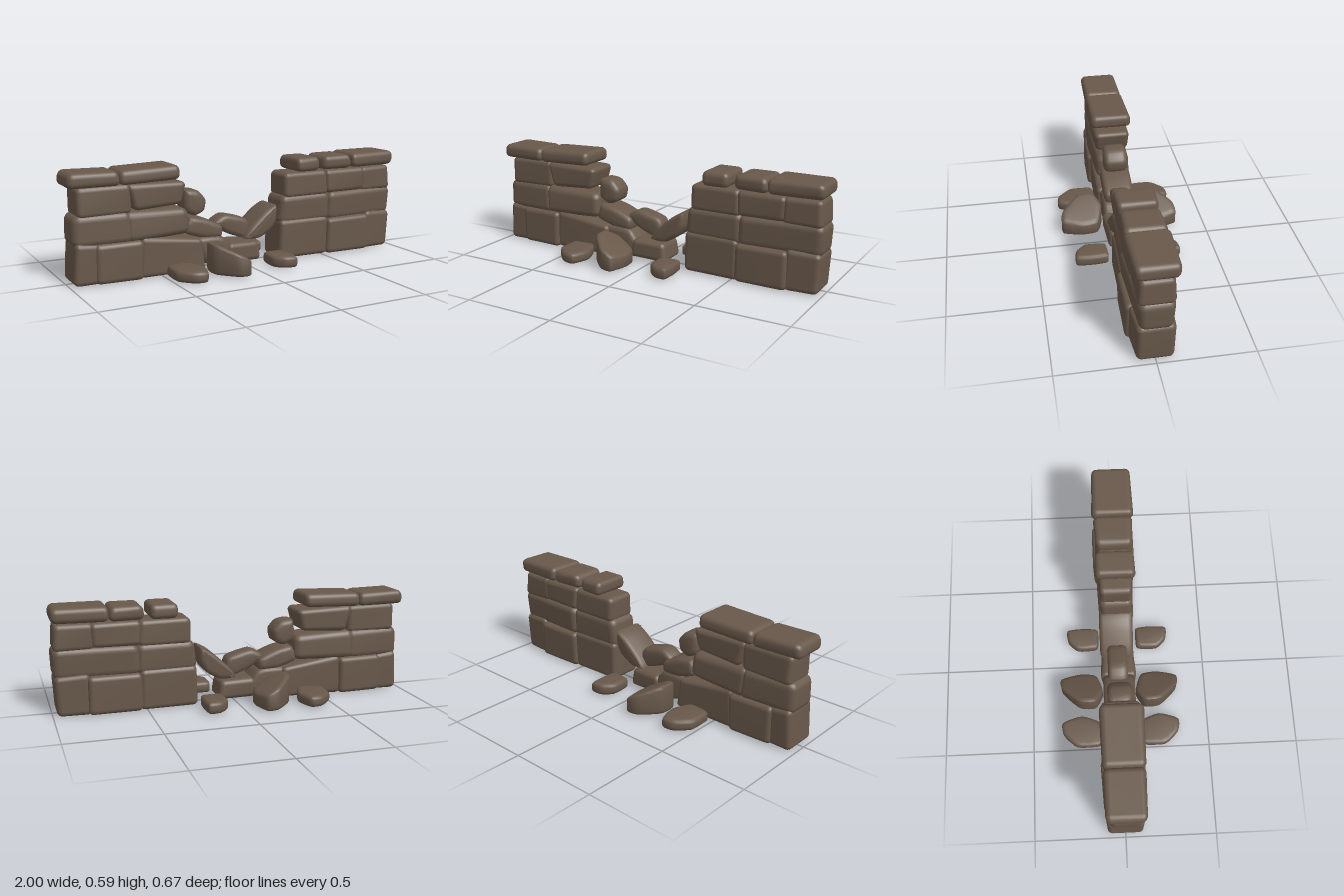
import * as THREE from 'three';
import { RoundedBoxGeometry } from 'three/addons/geometries/RoundedBoxGeometry.js';
import { mergeVertices, toCreasedNormals } from 'three/addons/utils/BufferGeometryUtils.js';

const stone = new THREE.MeshStandardMaterial({ color: 0x68584a });
stone.name = 'brownStone';

// Rounded block bent onto four side-on corners: [x, y] from bottom left, anticlockwise.
// dL and dR are the half depths at its left and right ends.
function block(name, [a, b, c, d], dL, dR, r = 0.028, zMid = 0) {
  const w = (b[0] - a[0] + c[0] - d[0]) / 2;
  const h = (d[1] - a[1] + c[1] - b[1]) / 2;
  const depth = dL + dR;
  const g = new RoundedBoxGeometry(w, h, depth, 3, Math.min(r, h * 0.48, w * 0.48));
  const p = g.attributes.position;
  for (let i = 0; i < p.count; i++) {
    const u = p.getX(i) / w + 0.5;
    const v = p.getY(i) / h + 0.5;
    const mix = k => (a[k] * (1 - u) + b[k] * u) * (1 - v) + (d[k] * (1 - u) + c[k] * u) * v;
    const x = mix(0);
    const y = mix(1);
    const z = p.getZ(i) / depth * 2 * (dL + (dR - dL) * u);
    // slight hand-cut unevenness
    const n = Math.sin(x * 17 + y * 29) * 0.003;
    p.setXYZ(i, x + n, y, z + zMid + n * Math.sign(z));
  }
  return finish(name, g, false);
}

function finish(name, g, creased) {
  g.deleteAttribute('uv');
  g.deleteAttribute('normal');
  let out = mergeVertices(g, 1e-4);
  out.computeVertexNormals();
  if (creased) out = toCreasedNormals(out, 0.8);
  const mesh = new THREE.Mesh(out, stone);
  mesh.name = name;
  return mesh;
}

// Rounded outline extruded from one depth to another, with softened rims
function pebbleGeometry(points, from, to, bevel) {
  const curve = new THREE.CatmullRomCurve3(
    points.map(([x, y]) => new THREE.Vector3(x, y, 0)), true, 'catmullrom', 0.3);
  const outline = curve.getPoints(points.length * 4).slice(0, -1);
  const shape = new THREE.Shape(outline.map(q => new THREE.Vector2(q.x, q.y)));
  const g = new THREE.ExtrudeGeometry(shape, {
    depth: to - from - 2 * bevel, bevelEnabled: true, bevelSize: bevel,
    bevelThickness: bevel, bevelOffset: -bevel, bevelSegments: 3
  });
  return g.translate(0, 0, from + bevel);
}

// Loose stone lying on the ground: plan outline in [x, z], with its top sloping along x
function groundStone(name, plan, side, height, slope, bevel) {
  const g = pebbleGeometry(plan.map(([x, z]) => [x, -z * side]), 0, height, bevel);
  g.rotateX(-Math.PI / 2);
  const x0 = Math.min(...plan.map(q => q[0]));
  const p = g.attributes.position;
  for (let i = 0; i < p.count; i++) {
    p.setY(i, 0.012 + p.getY(i) * (1 - slope * (p.getX(i) - x0)));
  }
  return finish(name, g, true);
}

export function createModel() {
  const model = new THREE.Group();
  model.name = 'ruinedWall';

  const box = (x0, x1, y0, y1, t = 0) => [[x0, y0], [x1, y0], [x1 - t, y1], [x0 + t, y1]];
  const group = (name, list) => {
    const g = new THREE.Group();
    g.name = name;
    g.add(...list);
    model.add(g);
  };

  // Wall piece at -x
  group('rightWall', [
    block('baseStone', [[-0.98, 0.01], [-0.83, 0.01], [-0.83, 0.22], [-0.97, 0.235]], 0.1, 0.1),
    block('baseStone', box(-0.865, -0.61, 0.01, 0.22), 0.115, 0.12),
    block('baseStone', [[-0.63, 0.01], [-0.25, 0.015], [-0.27, 0.185], [-0.62, 0.235]], 0.102, 0.108),
    block('middleStone', box(-0.98, -0.66, 0.205, 0.375, 0.005), 0.09, 0.107, 0.04),
    block('middleStone', [[-0.7, 0.205], [-0.34, 0.22], [-0.34, 0.36], [-0.7, 0.375]], 0.107, 0.095, 0.04),
    block('upperStone', box(-0.955, -0.66, 0.355, 0.515, 0.005), 0.09, 0.092),
    block('upperStone', [[-0.65, 0.37], [-0.38, 0.385], [-0.36, 0.505], [-0.69, 0.515]], 0.1, 0.098),
    block('capStone', [[-1, 0.51], [-0.725, 0.51], [-0.725, 0.585], [-0.995, 0.59]], 0.105, 0.11, 0.03),
    block('capStone', [[-0.73, 0.51], [-0.4, 0.52], [-0.395, 0.597], [-0.725, 0.587]], 0.114, 0.115, 0.03)
  ]);

  // Wall piece at +x
  group('leftWall', [
    block('baseStone', box(0.22, 0.54, 0.01, 0.235, 0.004), 0.1, 0.105),
    block('baseStone', box(0.525, 0.815, 0.01, 0.22), 0.12, 0.122),
    block('baseStone', [[0.79, 0.01], [0.98, 0.008], [0.99, 0.225], [0.8, 0.235]], 0.105, 0.097),
    block('middleStone', box(0.22, 0.56, 0.205, 0.375, 0.01), 0.092, 0.1, 0.04),
    block('middleStone', box(0.53, 0.995, 0.205, 0.375, 0.005), 0.108, 0.088, 0.04),
    block('upperStone', box(0.25, 0.54, 0.355, 0.5, 0.003), 0.09, 0.094),
    block('upperStone', box(0.525, 0.79, 0.365, 0.5), 0.1, 0.1),
    block('upperStone', box(0.77, 0.985, 0.355, 0.5, 0.003), 0.094, 0.09),
    block('capStone', box(0.32, 0.48, 0.502, 0.582, 0.004), 0.11, 0.11, 0.03),
    block('capStone', box(0.505, 0.692, 0.502, 0.582, 0.004), 0.1, 0.108, 0.03),
    block('capStone', box(0.69, 0.992, 0.505, 0.587, 0.004), 0.118, 0.106, 0.03)
  ]);

  // Fallen stones filling the gap
  const slab = (name, pts, z0, z1, bevel) => finish(name, pebbleGeometry(pts, z0, z1, bevel), true);
  group('rubble', [
    slab('roundStone', [[-0.35, 0.34], [-0.29, 0.305], [-0.235, 0.33], [-0.225, 0.39], [-0.27, 0.44], [-0.345, 0.445]], -0.07, 0.065, 0.03),
    slab('slidingStone', [[-0.355, 0.22], [-0.24, 0.18], [-0.14, 0.18], [-0.14, 0.24], [-0.24, 0.285], [-0.33, 0.3]], -0.09, 0.08, 0.025),
    slab('steppedStone', [[-0.29, 0.18], [-0.24, 0.04], [-0.08, 0.03], [-0.08, 0.1], [-0.14, 0.18]], -0.09, 0.09, 0.025),
    slab('tippedStone', [[-0.17, 0.25], [-0.1, 0.29], [0.03, 0.255], [0.05, 0.2], [0.01, 0.15], [-0.1, 0.19]], -0.06, 0.05, 0.025),
    slab('leaningStone', [[0.0, 0.15], [0.09, 0.145], [0.17, 0.19], [0.205, 0.25], [0.2, 0.325], [0.13, 0.29], [0.04, 0.21]], -0.1, 0.09, 0.025),
    block('gapStone', [[-0.13, 0.03], [0.1, 0.025], [0.09, 0.13], [-0.11, 0.14]], 0.1, 0.09)
  ]);

  // Loose stones on the ground, before and behind the wall
  const flat = [[-0.49, 0.13], [-0.46, 0.11], [-0.36, 0.11], [-0.315, 0.22], [-0.35, 0.33], [-0.42, 0.325], [-0.49, 0.25]];
  const wedge = [[-0.265, 0.14], [-0.19, 0.095], [-0.085, 0.13], [-0.07, 0.22], [-0.1, 0.33], [-0.17, 0.325], [-0.26, 0.23]];
  const small = [[0.095, 0.12], [0.15, 0.11], [0.21, 0.115], [0.22, 0.2], [0.21, 0.29], [0.14, 0.285], [0.09, 0.23]];
  for (const side of [1, -1]) {
    group(side > 0 ? 'frontLooseStones' : 'backLooseStones', [
      groundStone('flatStone', flat, side, 0.062, 0, 0.02),
      groundStone('wedgeStone', wedge, side, 0.175, 2.9, 0.025),
      groundStone('smallStone', small, side, 0.065, 0, 0.02)
    ]);
  }
  return model;
}
